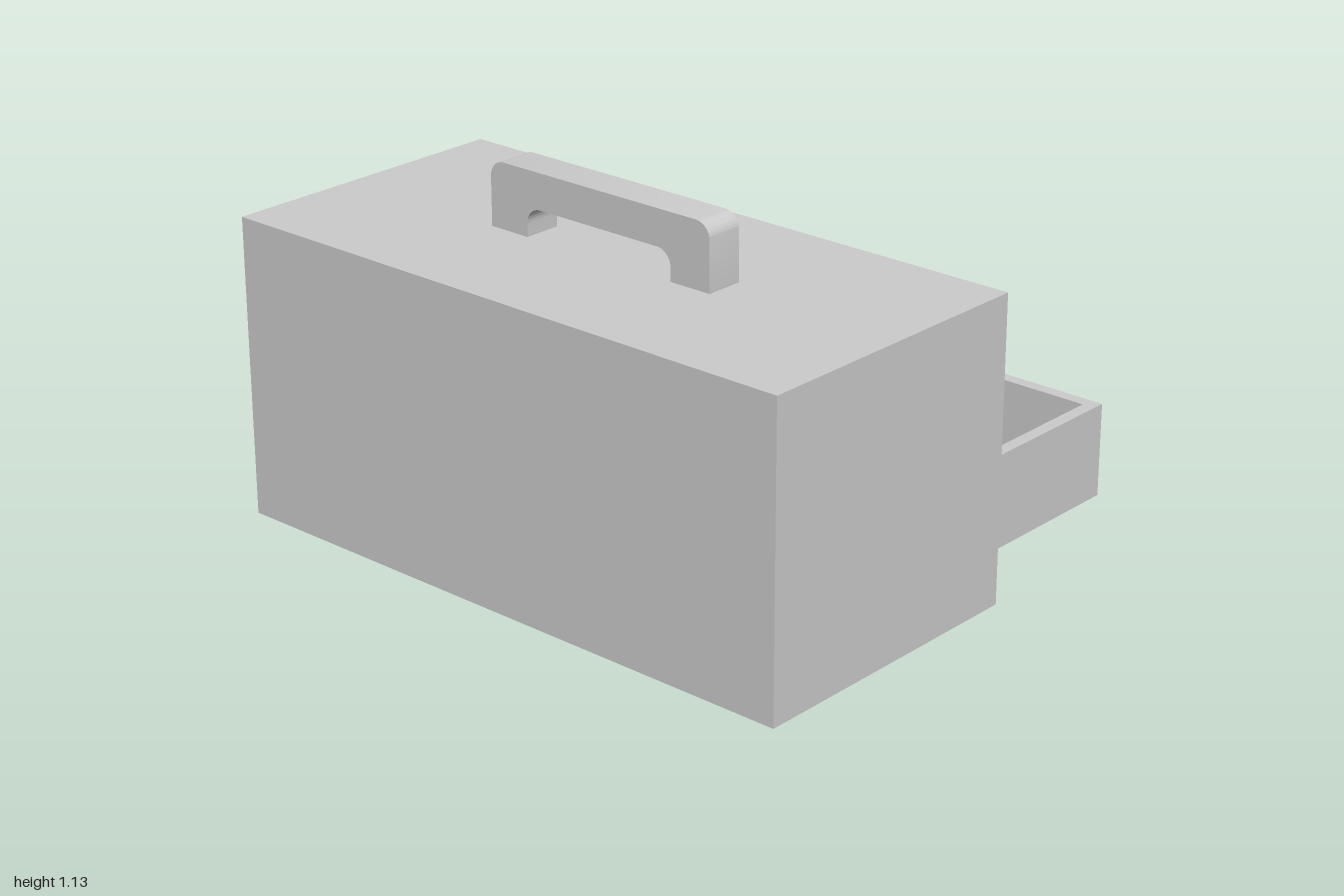
import * as THREE from 'three';
import { toCreasedNormals } from 'three/addons/utils/BufferGeometryUtils.js';

const material = new THREE.MeshStandardMaterial({ color: 0xcccccc });

function add(parent, name, geometry) {
  const mesh = new THREE.Mesh(geometry, material);
  mesh.name = name;
  parent.add(mesh);
  return mesh;
}

// Box given by its extents along each axis
function box(parent, name, [x0, x1], [y0, y1], [z0, z1]) {
  const geometry = new THREE.BoxGeometry(x1 - x0, y1 - y0, z1 - z0);
  geometry.translate((x0 + x1) / 2, (y0 + y1) / 2, (z0 + z1) / 2);
  return add(parent, name, geometry);
}

function rect(path, a0, a1, b0, b1) {
  path.moveTo(a0, b0);
  path.lineTo(a1, b0);
  path.lineTo(a1, b1);
  path.lineTo(a0, b1);
  path.closePath();
  return path;
}

// Extrude a side profile (horizontal = -z, vertical = y) from x0 to x1
function extrudeX(shape, x0, x1) {
  const geometry = new THREE.ExtrudeGeometry(shape, { depth: x1 - x0, bevelEnabled: false, curveSegments: 8 });
  geometry.rotateY(Math.PI / 2);
  geometry.translate(x0, 0, 0);
  return toCreasedNormals(geometry, 0.6);
}

// Open tray with a floor and four walls
function drawer(name, x0, x1, y0, y1, halfWidth) {
  const t = 0.04;
  const group = new THREE.Group();
  group.name = name;
  box(group, 'drawerFloor', [x0, x1], [y0, y0 + t], [-halfWidth, halfWidth]);
  box(group, 'drawerFront', [x1 - t, x1], [y0 + t, y1], [-halfWidth, halfWidth]);
  box(group, 'drawerBack', [x0, x0 + t], [y0 + t, y1], [-halfWidth, halfWidth]);
  for (const s of [-1, 1]) {
    const z = [s * halfWidth, s * (halfWidth - t)].sort((a, b) => a - b);
    box(group, 'drawerSide', [x0 + t, x1 - t], [y0 + t, y1], z);
  }
  return group;
}

function carryHandle() {
  const r = 0.05;
  const s = new THREE.Shape();
  s.moveTo(-0.41, 0.93);
  s.lineTo(-0.27, 0.93);
  s.lineTo(-0.27, 1.02 - r);
  s.absarc(-0.27 + r, 1.02 - r, r, Math.PI, Math.PI / 2, true);
  s.absarc(0.27 - r, 1.02 - r, r, Math.PI / 2, 0, true);
  s.lineTo(0.27, 0.93);
  s.lineTo(0.41, 0.93);
  s.absarc(0.41 - r, 1.13 - r, r, 0, Math.PI / 2, false);
  s.absarc(-0.41 + r, 1.13 - r, r, Math.PI / 2, Math.PI, false);
  s.closePath();
  return extrudeX(s, -0.39, -0.27);
}

function screwdriver() {
  const group = new THREE.Group();
  group.name = 'screwdriver';

  // Fluted grip
  const grip = new THREE.Shape();
  const steps = 96;
  for (let i = 0; i < steps; i++) {
    const a = (i / steps) * Math.PI * 2;
    const r = 0.033 - 0.006 * Math.max(0, Math.cos(a * 8));
    if (i) grip.lineTo(r * Math.cos(a), r * Math.sin(a));
    else grip.moveTo(r, 0);
  }
  grip.closePath();
  const gripGeometry = new THREE.ExtrudeGeometry(grip, {
    depth: 0.162, bevelEnabled: true, bevelThickness: 0.006, bevelSize: 0.004, bevelOffset: -0.004, bevelSegments: 2,
  });
  gripGeometry.translate(0, 0, -0.304);
  add(group, 'grip', toCreasedNormals(gripGeometry, 0.6));

  // Neck and collar, turned around the long axis
  const collar = [[0, -0.14], [0.027, -0.14], [0.027, -0.13], [0.035, -0.12], [0.035, -0.1], [0.03, -0.094], [0, -0.094]];
  const collarGeometry = new THREE.LatheGeometry(collar.map(([r, y]) => new THREE.Vector2(r, y)), 32);
  collarGeometry.rotateX(Math.PI / 2);
  add(group, 'collar', toCreasedNormals(collarGeometry, 0.5));

  // Round shaft flattened towards a slightly wider blade
  const shaftGeometry = new THREE.CylinderGeometry(0.015, 0.015, 0.41, 24, 41);
  shaftGeometry.rotateX(Math.PI / 2);
  shaftGeometry.translate(0, 0, 0.105);
  const p = shaftGeometry.attributes.position;
  for (let i = 0; i < p.count; i++) {
    const k = THREE.MathUtils.clamp((p.getZ(i) - 0.25) / 0.06, 0, 1);
    p.setX(i, p.getX(i) * (1 + 0.15 * Math.sin(k * Math.PI)));
    p.setY(i, p.getY(i) * (1 - 0.85 * k));
  }
  add(group, 'shaft', toCreasedNormals(shaftGeometry, 0.6));

  group.position.set(0.493, 0.4, 0);
  return group;
}

export function createModel() {
  const model = new THREE.Group();
  model.name = 'toolbox';

  // Case with two drawer openings
  const side = rect(new THREE.Shape(), -1, 1, 0, 0.93);
  side.holes.push(rect(new THREE.Path(), -0.915, 0.915, 0.088, 0.385));
  side.holes.push(rect(new THREE.Path(), -0.915, 0.915, 0.4, 0.582));
  add(model, 'case', extrudeX(side, -0.77, 0.15));
  box(model, 'caseBack', [-0.81, -0.77], [0, 0.93], [-1, 1]);

  add(model, 'carryHandle', carryHandle());

  // Closed upper drawer, pulled out lower drawer
  model.add(drawer('upperDrawer', -0.71, 0.15, 0.41, 0.58, 0.905));
  model.add(drawer('lowerDrawer', -0.08, 0.78, 0.09, 0.38, 0.9));
  for (const z of [-0.615, 0.615]) {
    box(model, 'drawerPull', [0.78, 0.81], [0.19, 0.28], [z - 0.097, z + 0.097]);
  }

  // Latches with a raised hanging tongue
  for (const z of [-0.69, 0.595]) {
    const latch = new THREE.Group();
    latch.name = 'latch';
    box(latch, 'latchMount', [0.15, 0.19], [0.75, 0.84], [z - 0.073, z + 0.073]);
    box(latch, 'latchTongue', [0.165, 0.19], [0.63, 0.75], [z - 0.073, z + 0.073]);
    model.add(latch);
  }

  model.add(screwdriver());
  return model;
}
